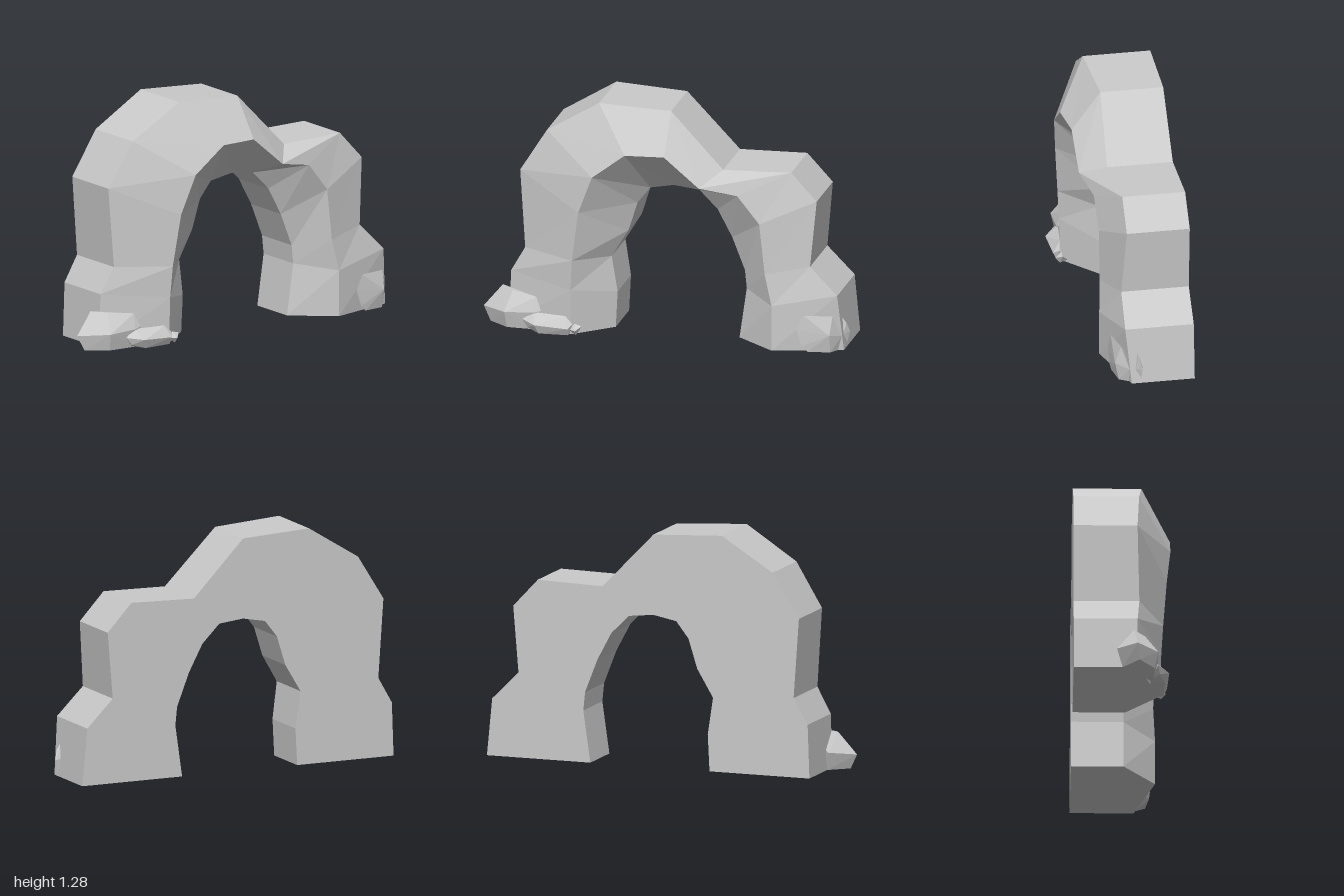
import * as THREE from 'three';
import { ConvexGeometry } from 'three/addons/geometries/ConvexGeometry.js';

const BACK = -0.26;

// Stations from the right foot (-x) over the top to the left foot (+x):
// outer edge x, y, z | front ridge x, y, z | inner edge x, y, z
const STATIONS = [
  [-0.86, 0, 0.08, -0.49, 0, 0.2, -0.29, 0, 0.02],
  [-0.85, 0.29, 0.08, -0.49, 0.25, 0.21, -0.28, 0.2, 0.02],
  [-0.77, 0.43, 0.09, -0.48, 0.42, 0.22, -0.31, 0.4, 0.03],
  [-0.8, 0.86, 0.08, -0.44, 0.7, 0.24, -0.22, 0.55, 0.02],
  [-0.65, 1.1, 0.09, -0.36, 0.91, 0.26, -0.17, 0.71, 0.02],
  [-0.36, 1.28, 0.105, -0.18, 1.05, 0.26, -0.1, 0.8, 0.02],
  [0.03, 1.26, 0.08, 0.03, 1.05, 0.235, 0.03, 0.825, 0.02],
  [0.32, 0.96, 0.095, 0.22, 0.89, 0.23, 0.17, 0.81, 0.02],
  [0.69, 0.97, 0.08, 0.42, 0.85, 0.185, 0.27, 0.71, 0.02],
  [0.83, 0.82, 0.08, 0.54, 0.7, 0.18, 0.35, 0.56, 0.02],
  [0.8, 0.46, 0.105, 0.57, 0.42, 0.18, 0.42, 0.38, 0.02],
  [0.95, 0.31, 0.11, 0.61, 0.25, 0.19, 0.43, 0.28, 0.02],
  [0.98, 0, 0.08, 0.61, 0, 0.19, 0.39, 0, 0.02],
];
const NOTCH = 7; // the span beside the notch folds along the other diagonal

// Five-sided cross-sections joined along the span, capped at both feet
function archGeometry() {
  const positions = [];
  const index = [];
  for (const [ox, oy, oz, rx, ry, rz, ix, iy, iz] of STATIONS) {
    positions.push(ox, oy, BACK, ox, oy, oz, rx, ry, rz, ix, iy, iz, ix, iy, BACK);
  }
  const last = (STATIONS.length - 1) * 5;
  for (let s = 0; s < last; s += 5) {
    for (let k = 0; k < 5; k++) {
      const a = s + k, b = s + (k + 1) % 5;
      const c = b + 5, d = a + 5;
      if (s === NOTCH * 5) index.push(a, b, d, b, c, d);
      else index.push(a, b, c, a, c, d);
    }
  }
  for (let k = 1; k < 4; k++) {
    index.push(0, k + 1, k);
    index.push(last, last + k, last + k + 1);
  }
  const geometry = new THREE.BufferGeometry();
  geometry.setAttribute('position', new THREE.Float32BufferAttribute(positions, 3));
  geometry.setIndex(index);
  const faceted = geometry.toNonIndexed();
  faceted.computeVertexNormals();
  return faceted;
}

// Boulders as the convex hull of a few corners
const ROCKS = {
  largeRock: [
    [-1, 0.08, 0.08], [-0.96, 0, 0.09], [-0.9, 0.2, 0.06], [-0.88, 0.1, -0.03],
    [-0.86, 0.09, 0.19], [-0.85, 0, 0.17], [-0.83, 0.195, 0.12], [-0.69, 0.18, 0.16],
    [-0.66, 0.11, 0.18], [-0.67, 0, 0.17], [-0.86, 0, 0], [-0.7, 0.1, 0.19],
  ],
  flatRock: [
    [-0.76, 0.06, 0.19], [-0.73, 0.02, 0.2], [-0.7, 0.1, 0.18], [-0.52, 0.1, 0.2],
    [-0.68, 0.05, 0.25], [-0.5, 0.04, 0.24], [-0.66, 0, 0.23], [-0.5, 0, 0.22],
    [-0.48, 0.06, 0.21], [-0.7, 0, 0.15], [-0.5, 0, 0.15],
  ],
  pebble: [
    [-0.5, 0.03, 0.21], [-0.43, 0.05, 0.2], [-0.46, 0, 0.21],
    [-0.46, 0.03, 0.235], [-0.47, 0.06, 0.2], [-0.45, 0.02, 0.17],
  ],
  sideRock: [
    [0.74, 0.1, 0.15], [0.78, 0.2, 0.16], [0.93, 0.2, 0.13], [0.74, 0.12, 0.165],
    [0.77, 0.03, 0.165], [0.92, 0.1, 0.16], [0.92, 0, 0.14], [0.8, 0, 0.16],
    [0.97, 0.08, 0.09], [0.95, 0, 0.09], [0.85, 0.1, 0.05],
  ],
  rockSliver: [
    [0.95, 0.19, 0.05], [1, 0.09, 0.025], [0.985, 0.03, 0.03],
    [0.985, 0.14, 0.045], [0.97, 0.08, 0.06], [0.94, 0.1, 0.02],
  ],
};

export function createModel() {
  const group = new THREE.Group();
  group.name = 'rockArch';
  const stone = new THREE.MeshStandardMaterial({ color: 0xcacaca, flatShading: true });
  stone.name = 'grey stone';

  const add = (name, geometry) => {
    const mesh = new THREE.Mesh(geometry, stone);
    mesh.name = name;
    group.add(mesh);
  };

  add('arch', archGeometry());
  for (const [name, corners] of Object.entries(ROCKS)) {
    add(name, new ConvexGeometry(corners.map((p) => new THREE.Vector3(...p))));
  }
  return group;
}
